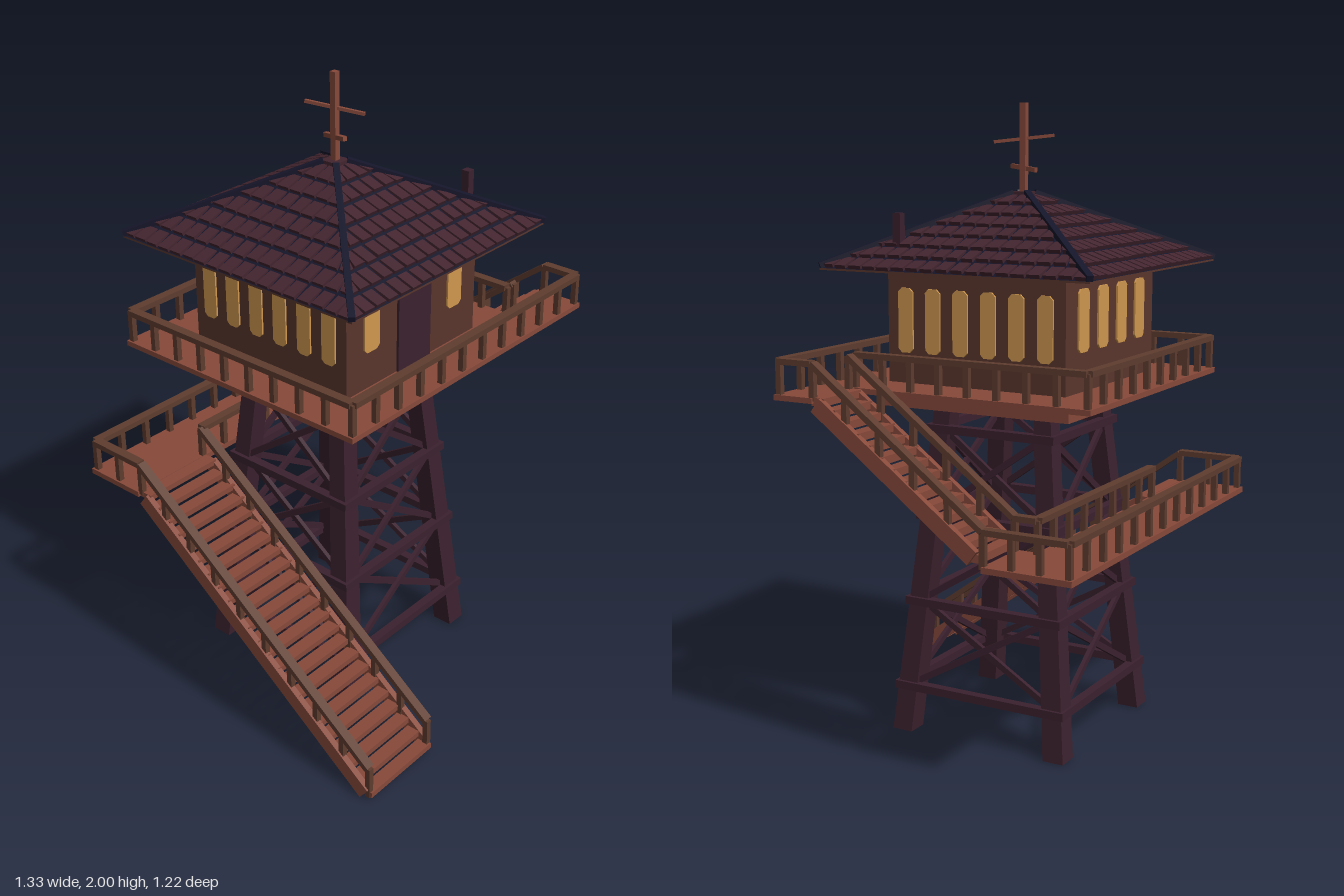
import * as THREE from 'three';
import { mergeGeometries } from 'three/addons/utils/BufferGeometryUtils.js';

const mat = (name, color) => Object.assign(new THREE.MeshStandardMaterial({ color }), { name });

export function createModel() {
  const redWood = mat('red wood', 0x884a3b);
  const railWood = mat('rail wood', 0x5f3d2f);
  const wallWood = mat('wall wood', 0x5a362d);
  const darkWood = mat('dark wood', 0x3b212e);
  const tileMat = mat('roof tile', 0x43252f);
  const gapMat = mat('roof underlay', 0x16162b);
  const glow = mat('lit window', 0xd0984f);

  const model = new THREE.Group();
  model.name = 'watchtower';
  const tower = new THREE.Group();
  tower.name = 'tower';
  tower.position.set(-0.043, 0, -0.068);
  tower.rotation.y = 0.035;
  model.add(tower);

  const V = (x, y, z) => new THREE.Vector3(x, y, z);
  const group = (name, parent = tower) => {
    const g = new THREE.Group();
    g.name = name;
    parent.add(g);
    return g;
  };
  const add = (parent, name, geo, material) => {
    const m = new THREE.Mesh(geo, material);
    m.name = name;
    parent.add(m);
    return m;
  };
  // box given by its minimum and maximum corners
  const block = (parent, name, a, b, material) => {
    const geo = new THREE.BoxGeometry(b[0] - a[0], b[1] - a[1], b[2] - a[2]);
    geo.translate((a[0] + b[0]) / 2, (a[1] + b[1]) / 2, (a[2] + b[2]) / 2);
    return add(parent, name, geo, material);
  };
  // straight beam between two points
  const beam = (parent, name, a, b, w, h, material) => {
    const m = new THREE.Mesh(new THREE.BoxGeometry(w, h, a.distanceTo(b)), material);
    m.name = name;
    m.position.copy(a).lerp(b, 0.5);
    m.lookAt(b);
    parent.add(m);
    return m;
  };

  // Legs: boxes leaning inwards
  const frame = group('supportFrame');
  const LEG_TOP = 1.08;
  const spread = y => 0.275 - 0.1 * y / LEG_TOP;
  for (const sx of [-1, 1]) for (const sz of [-1, 1]) {
    const geo = new THREE.BoxGeometry(0.07, LEG_TOP, 0.07);
    geo.translate(0, LEG_TOP / 2, 0);
    const p = geo.attributes.position;
    for (let i = 0; i < p.count; i++) {
      const y = p.getY(i), k = 1 - 0.15 * y / LEG_TOP;
      p.setXYZ(i, p.getX(i) * k + sx * spread(y), y, p.getZ(i) * k + sz * spread(y));
    }
    geo.computeVertexNormals();
    add(frame, 'leg', geo, darkWood);
  }
  // Horizontal ties and cross braces on all four sides
  const levels = [0.15, 0.43, 0.71, 0.99];
  for (let s = 0; s < 4; s++) {
    const side = group('bracing', frame);
    side.rotation.y = s * Math.PI / 2;
    levels.forEach((y, i) => {
      const c = spread(y), e = c + 0.042;
      beam(side, 'tie', V(-e, y, c + 0.028), V(e, y, c + 0.028), 0.03, 0.026, darkWood);
      if (i === 3) return;
      const y2 = levels[i + 1], c2 = spread(y2);
      for (const d of [-1, 1])
        beam(side, 'crossBrace', V(-d * c, y, c + 0.012 + d * 0.005), V(d * c2, y2, c2 + 0.012 + d * 0.005), 0.014, 0.02, darkWood);
    });
  }

  // Railing along a path of floor points
  const RAIL = 0.11;
  function railing(name, pts) {
    const g = group(name);
    for (let i = 0; i + 1 < pts.length; i++) {
      const a = V(...pts[i]), b = V(...pts[i + 1]);
      const up = V(0, RAIL - 0.01, 0);
      beam(g, 'handrail', a.clone().add(up), b.clone().add(up), 0.03, 0.018, railWood);
      const n = Math.max(1, Math.round(Math.hypot(b.x - a.x, b.z - a.z) / 0.105));
      for (let k = i ? 1 : 0; k <= n; k++) {
        const q = a.clone().lerp(b, k / n);
        block(g, 'post', [q.x - 0.009, q.y - 0.01, q.z - 0.009], [q.x + 0.009, q.y + RAIL - 0.01, q.z + 0.009], railWood);
      }
    }
  }

  // Flight of open steps with stringers, rising from zA to zB
  function stairs(name, x0, x1, zA, yA, zB, yB, n, thick) {
    const g = group(name);
    const run = (zB - zA) / n, rise = (yB - yA) / n;
    for (let i = 0; i < n; i++) {
      const z0 = zA + run * i, z1 = z0 + run * 1.06, top = yA + rise * (i + 1);
      block(g, 'tread', [x0 + 0.01, top - thick, Math.min(z0, z1)], [x1 - 0.01, top, Math.max(z0, z1)], redWood);
    }
    for (const x of [x0 + 0.01, x1 - 0.01])
      beam(g, 'stringer', V(x, yA + 0.02, zA + run * 0.6), V(x, yB - 0.02, zB - run * 0.4), 0.02, 0.05, redWood);
  }

  // Lower flight, middle landing and upper flight
  const L = 0.715, D = 1.145;
  stairs('lowerStairs', -0.61, -0.3, 0.655, 0, -0.3, L, 23, 0.019);
  block(tower, 'middleLanding', [-0.61, L - 0.018, -0.525], [0.687, L, -0.305], redWood);
  block(tower, 'middleLandingCorner', [0.475, L - 0.018, -0.305], [0.687, L, -0.24], redWood);
  stairs('upperStairs', 0.475, 0.687, -0.235, L, 0.335, D, 14, 0.024);
  railing('outerStairRailing', [[-0.595, 0.02, 0.64], [-0.595, L, -0.3], [-0.595, L, -0.51],
    [0.672, L, -0.51], [0.672, L, -0.24], [0.672, D, 0.335], [0.672, D, 0.455], [-0.453, D, 0.455],
    [-0.453, D, -0.453], [0.453, D, -0.453], [0.453, D, 0.335]]);
  railing('innerStairRailing', [[-0.315, 0.02, 0.64], [-0.315, L, -0.315], [0.49, L, -0.315],
    [0.49, L, -0.24], [0.49, D, 0.335]]);

  // Gallery deck on its base slab
  block(tower, 'deckBase', [-0.325, 1.07, -0.328], [0.325, 1.13, 0.328], redWood);
  block(tower, 'deck', [-0.468, 1.128, -0.468], [0.468, D, 0.468], redWood);
  block(tower, 'deckStairLanding', [0.468, 1.128, 0.33], [0.687, D, 0.468], redWood);

  // Cabin with door and windows
  const H = 0.308;
  const cabin = group('cabin');
  block(cabin, 'cabinWalls', [-H, D, -H], [H, 1.505, H], wallWood);
  block(cabin, 'door', [-0.077, D, H], [0.077, 1.46, H + 0.008], darkWood);
  const windowGeo = (w, h, c) => {
    const s = new THREE.Shape();
    s.moveTo(-w / 2 + c, 0);
    s.lineTo(w / 2 - c, 0);
    s.lineTo(w / 2, c);
    s.lineTo(w / 2, h - c);
    s.lineTo(w / 2 - c, h);
    s.lineTo(-w / 2 + c, h);
    s.lineTo(-w / 2, h - c);
    s.lineTo(-w / 2, c);
    return new THREE.ExtrudeGeometry(s, { depth: 0.006, bevelEnabled: false });
  };
  const wide = windowGeo(0.068, 0.19, 0.012), narrow = windowGeo(0.052, 0.2, 0.012);
  const narrowXs = [-2.5, -1.5, -0.5, 0.5, 1.5, 2.5].map(k => k * 0.097);
  [[-0.198, 0.198], narrowXs, [-0.198, -0.066, 0.066, 0.198], narrowXs].forEach((xs, s) => {
    const wall = group('windowRow', cabin);
    wall.rotation.y = s * Math.PI / 2;
    for (const x of xs)
      add(wall, 'window', s % 2 ? narrow : wide, glow).position.set(x, s % 2 ? 1.24 : 1.265, H);
  });

  // Hipped roof: underlay, soffit, tiles and hip caps
  const roof = group('roof');
  const R0 = 0.458, R1 = 0.025, Y0 = 1.503, Y1 = 1.718;
  const under = new THREE.CylinderGeometry(R1 * Math.SQRT2, R0 * Math.SQRT2, Y1 - Y0, 4, 1).toNonIndexed();
  under.rotateY(Math.PI / 4);
  under.translate(0, (Y0 + Y1) / 2, 0);
  under.computeVertexNormals();
  add(roof, 'roofUnderlay', under, gapMat);
  block(roof, 'soffit', [-R0, Y0 - 0.006, -R0], [R0, Y0, R0], wallWood);

  let seed = 7;
  const rnd = () => (seed = (seed * 16807) % 2147483647) / 2147483647;
  const half = t => R0 + (R1 - R0) * t;
  const tiles = [];
  const ROWS = 7, COLS = 18, step = 2 * R0 / COLS;
  for (let s = 0; s < 4; s++) for (let r = 0; r < ROWS; r++) for (let c = 0; c < COLS; c++) {
    const x0 = -R0 + c * step + 0.003 + rnd() * 0.004, x1 = -R0 + (c + 1) * step - 0.003 - rnd() * 0.004;
    const t0 = r / ROWS + rnd() * 0.012, t1 = (r + 1) / ROWS - 0.014;
    if (Math.min(Math.abs(x0), Math.abs(x1)) > half(t0)) continue;
    const geo = new THREE.BoxGeometry(1, 1, 1);
    const p = geo.attributes.position;
    for (let i = 0; i < p.count; i++) {
      const low = p.getZ(i) > 0, t = low ? t0 : t1, h = half(t);
      const lift = p.getY(i) > 0 ? (low ? 0.011 : 0.004) : 0;
      p.setXYZ(i, THREE.MathUtils.clamp(p.getX(i) < 0 ? x0 : x1, -h, h), Y0 + (Y1 - Y0) * t + lift, h + lift * 0.45);
    }
    geo.computeVertexNormals();
    geo.rotateY(s * Math.PI / 2);
    tiles.push(geo);
  }
  add(roof, 'roofTiles', mergeGeometries(tiles), tileMat);
  for (const sx of [-1, 1]) for (const sz of [-1, 1])
    beam(roof, 'hipCap', V(sx * R0, Y0 + 0.008, sz * R0), V(sx * R1, Y1 + 0.006, sz * R1), 0.02, 0.018, gapMat);
  block(roof, 'roofCap', [-0.03, Y1 - 0.008, -0.03], [0.03, Y1 + 0.01, 0.03], tileMat);
  block(roof, 'chimney', [0.305, 1.51, 0.247], [0.332, 1.668, 0.274], darkWood);

  // Mast with two crossbars
  const mast = group('mast');
  block(mast, 'mastPole', [-0.01, 1.72, -0.01], [0.01, 2, 0.01], redWood);
  beam(mast, 'upperCrossbar', V(-0.034, 1.9, -0.088), V(0.034, 1.88, 0.088), 0.01, 0.01, redWood);
  beam(mast, 'lowerCrossbar', V(0.01, 1.794, -0.048), V(-0.01, 1.806, 0.048), 0.014, 0.014, redWood);

  return model;
}
